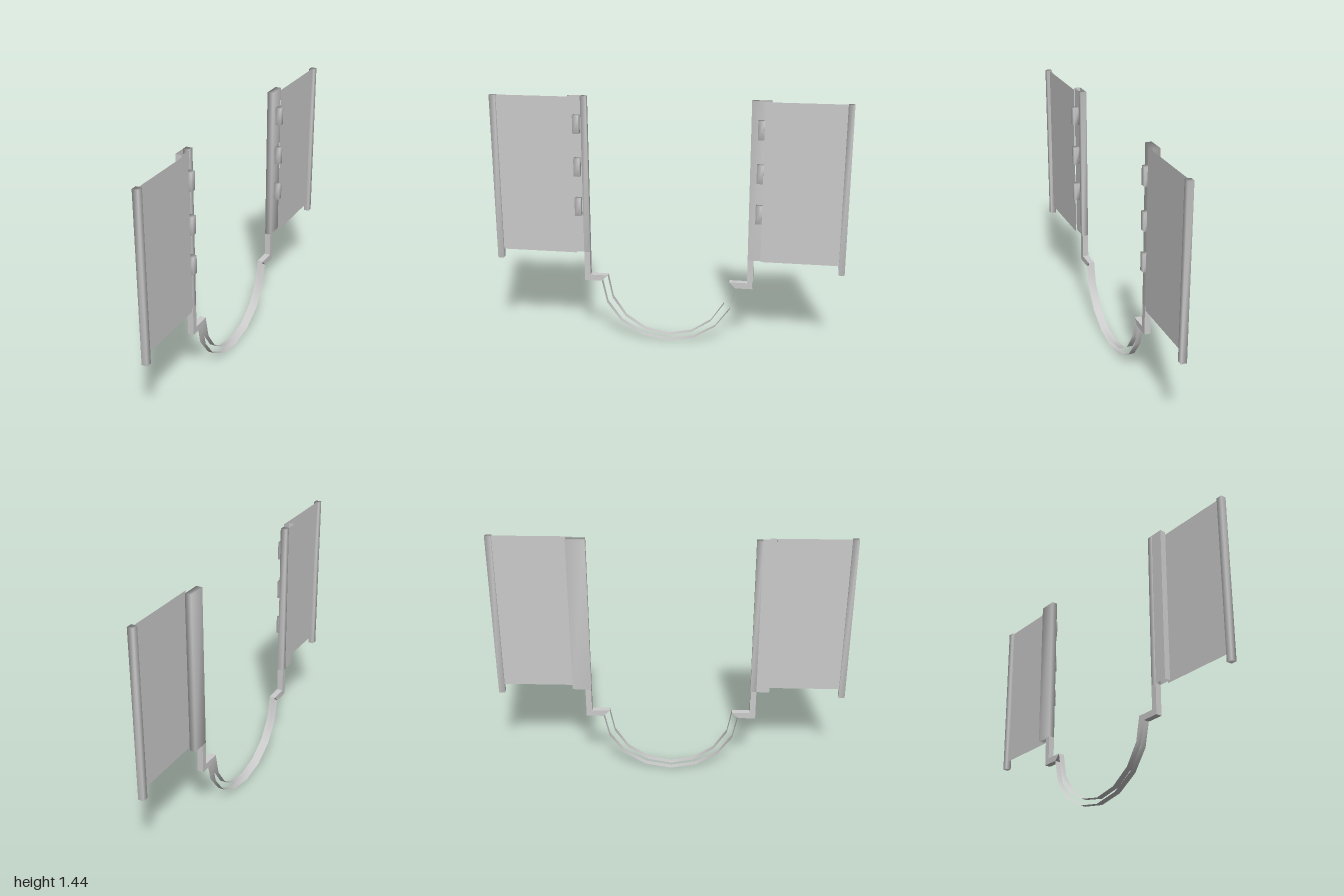
import * as THREE from 'three';
import { mergeVertices } from 'three/addons/utils/BufferGeometryUtils.js';

const grey = new THREE.MeshStandardMaterial({ color: 0xcccccc });
const sheet = new THREE.MeshStandardMaterial({ color: 0xcccccc, side: THREE.DoubleSide });
const T = 0.035, TOP = 1.44, BASE = 0.53;

// shares corner vertices so the normals run smoothly around the edges
function smooth(geo) {
  geo.deleteAttribute('normal');
  geo.deleteAttribute('uv');
  const merged = mergeVertices(geo);
  merged.computeVertexNormals();
  return merged;
}

function add(parent, name, geo, mat = grey) {
  const mesh = new THREE.Mesh(geo, mat);
  mesh.name = name;
  parent.add(mesh);
  return mesh;
}

// box between two corners; z is measured outward from the centre on the given side
function bar(parent, name, side, [x0, x1], [y0, y1], [z0, z1]) {
  const mesh = add(parent, name, smooth(new THREE.BoxGeometry(x1 - x0, y1 - y0, z1 - z0)));
  mesh.position.set((x0 + x1) / 2, (y0 + y1) / 2, side * (z0 + z1) / 2);
}

// flat upright sheet swept along a path of [x, z] points
function wall(points, y0, y1) {
  const pos = [], idx = [];
  points.forEach(([x, z], i) => {
    pos.push(x, y0, z, x, y1, z);
    if (i) { const a = 2 * i - 2; idx.push(a, a + 2, a + 1, a + 1, a + 2, a + 3); }
  });
  const geo = new THREE.BufferGeometry();
  geo.setAttribute('position', new THREE.Float32BufferAttribute(pos, 3));
  geo.setIndex(idx);
  const flat = geo.toNonIndexed();
  flat.computeVertexNormals();
  return flat;
}

// half-ellipse ribbon hanging between the feet
function ribbon(rz, ry, cy, segments, flip) {
  const pos = [], idx = [];
  for (let i = 0; i <= segments; i++) {
    const a = Math.PI * i / segments;
    const y = cy - ry * Math.sin(a), z = rz * Math.cos(a);
    pos.push(-T, y, z, 0, y, z);
    if (i) {
      const k = 2 * i - 2;
      if (flip) idx.push(k, k + 2, k + 1, k + 1, k + 2, k + 3);
      else idx.push(k, k + 1, k + 2, k + 1, k + 3, k + 2);
    }
  }
  const geo = new THREE.BufferGeometry();
  geo.setAttribute('position', new THREE.Float32BufferAttribute(pos, 3));
  geo.setIndex(idx);
  geo.computeVertexNormals();
  return geo;
}

function buildSide(side) {
  const group = new THREE.Group();
  group.name = side > 0 ? 'frontGate' : 'backGate';

  // thin panel and the pole along its outer edge
  add(group, 'panel', wall([[0.016, side * 0.53], [0.016, side * 0.97]], BASE, TOP), sheet);
  bar(group, 'outerPole', side, [0, 0.033], [0.48, TOP], [0.966, 1]);

  // hinge post: the front one is a column with an open channel, the back one solid
  if (side > 0) {
    bar(group, 'hingePost', side, [-T, 0], [BASE, TOP], [0.457, 0.49]);
    add(group, 'hingeChannel',
      wall([[-T, 0.49], [-T, 0.563], [0, 0.563], [0, 0.49]], BASE, TOP), sheet);
  } else {
    bar(group, 'hingePost', side, [-T, 0], [BASE, TOP], [0.457, 0.563]);
  }

  // three hinges
  for (const y of [0.81, 1.042, 1.287])
    bar(group, 'hinge', side, [0, 0.033], [y - 0.052, y + 0.052], [0.495, 0.53]);

  // stem turning inward into a foot with a mitred end
  const outline = [[0.457, BASE], [0.49, BASE], [0.49, 0.355], [0.39, 0.355], [0.355, 0.39], [0.457, 0.39]];
  const shape = new THREE.Shape(outline.map(([z, y]) => new THREE.Vector2(side * z, y)));
  const foot = new THREE.ExtrudeGeometry(shape, { depth: T, bevelEnabled: false });
  add(group, 'stemAndFoot', foot.rotateY(-Math.PI / 2));
  return group;
}

export function createModel() {
  const model = new THREE.Group();
  model.name = 'hangingGates';
  model.add(buildSide(1), buildSide(-1));

  // curved link, open along its sides
  add(model, 'outerArc', ribbon(0.39, 0.355, 0.355, 8, false), sheet);
  add(model, 'innerArc', ribbon(0.355, 0.355, 0.39, 8, true), sheet);
  return model;
}
